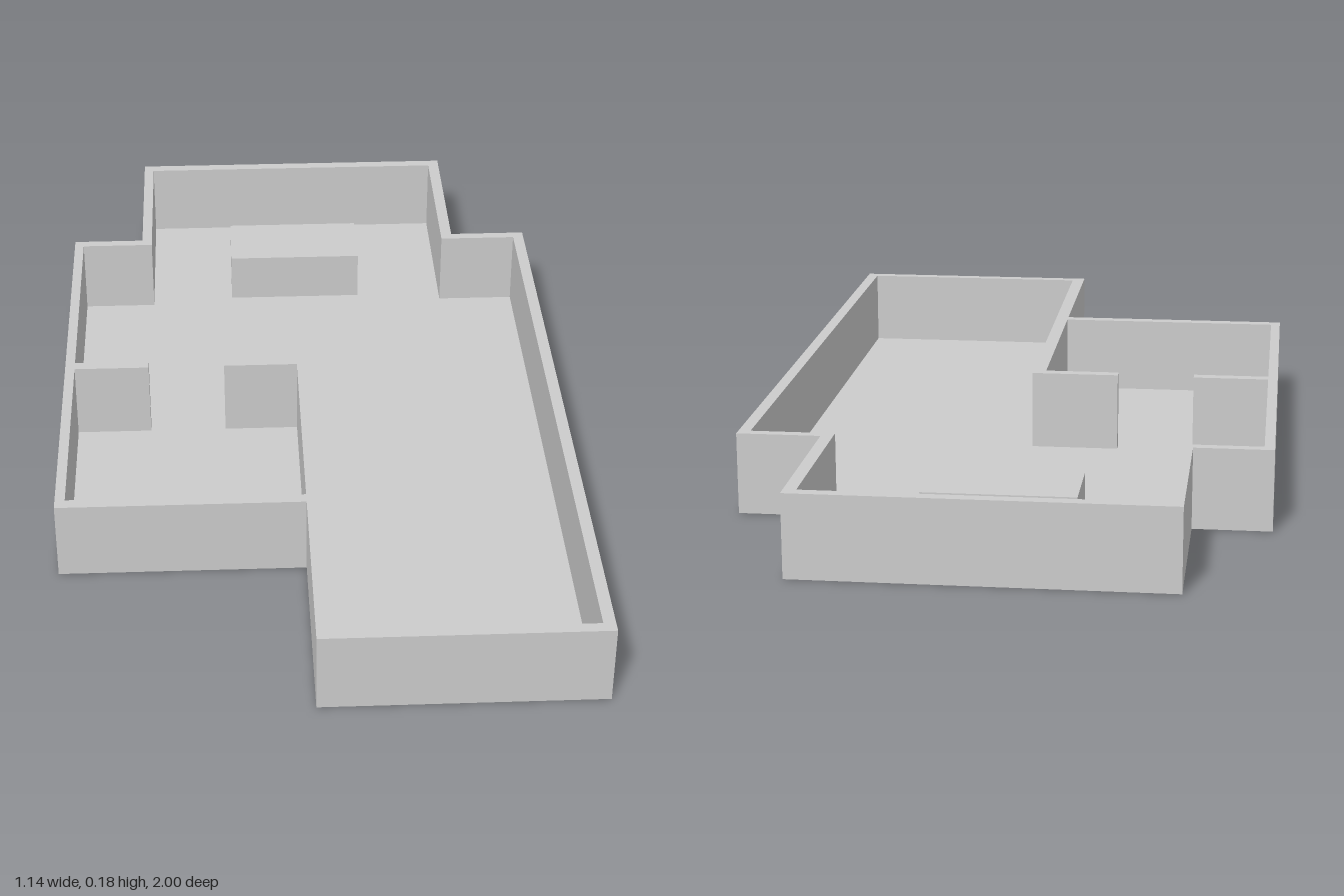
import * as THREE from 'three';

const material = new THREE.MeshStandardMaterial({ color: 0xcccccc, flatShading: true, side: THREE.DoubleSide });
const WALL_H = 0.178, BLOCK_H = 0.117;

// Plan outlines as [x, z], counter-clockwise seen from above
const outer = [
  [-0.4, -1], [-0.4, -0.6], [-0.57, -0.6], [-0.57, 0.54], [-0.03, 0.54], [-0.03, 1],
  [0.57, 1], [0.57, -0.6], [0.388, -0.6], [0.388, -1],
];
// The inner outline wraps around both stubs of the partition beside the doorway
const inner = [
  [-0.376, -0.974], [-0.376, -0.577], [-0.548, -0.577], [-0.548, -0.03], [-0.376, -0.03], [-0.376, -0.004],
  [-0.548, -0.004], [-0.548, 0.513], [-0.03, 0.513], [-0.03, -0.004], [-0.2, -0.004], [-0.2, -0.03],
  [0, -0.03], [0, 0.975], [0.544, 0.975], [0.544, -0.577], [0.361, -0.577], [0.361, -0.974],
];
const block = [[-0.175, -0.775], [-0.175, -0.604], [0.15, -0.604], [0.15, -0.775]];

// Flat horizontal sheet with an optional hole
function sheet(name, outline, hole, y) {
  const toPoints = (pts) => pts.map(([x, z]) => new THREE.Vector2(x, -z));
  const shape = new THREE.Shape(toPoints(outline));
  if (hole) shape.holes.push(new THREE.Path(toPoints(hole)));
  const geometry = new THREE.ShapeGeometry(shape).rotateX(-Math.PI / 2).translate(0, y, 0);
  const mesh = new THREE.Mesh(geometry, material);
  mesh.name = name;
  return mesh;
}

// Vertical sheet following a closed outline from the ground to a height
function curtain(name, outline, height) {
  const positions = [];
  outline.forEach(([ax, az], i) => {
    const [bx, bz] = outline[(i + 1) % outline.length];
    positions.push(ax, 0, az, bx, 0, bz, bx, height, bz);
    positions.push(ax, 0, az, bx, height, bz, ax, height, az);
  });
  const geometry = new THREE.BufferGeometry();
  geometry.setAttribute('position', new THREE.Float32BufferAttribute(positions, 3));
  geometry.computeVertexNormals();
  const mesh = new THREE.Mesh(geometry, material);
  mesh.name = name;
  return mesh;
}

export function createModel() {
  const model = new THREE.Group();
  model.name = 'floorPlan';

  // Hollow walls, open underneath
  const walls = new THREE.Group();
  walls.name = 'walls';
  walls.add(
    curtain('outerWallFaces', outer, WALL_H),
    curtain('innerWallFaces', [...inner].reverse(), WALL_H),
    sheet('wallTops', outer, inner, WALL_H),
  );

  // Counter block, also open underneath
  const counter = new THREE.Group();
  counter.name = 'counter';
  counter.add(curtain('counterSides', block, BLOCK_H), sheet('counterTop', block, null, BLOCK_H));

  // Floor inside the walls, cut out under the counter
  model.add(walls, counter, sheet('floor', inner, block, 0));
  return model;
}
